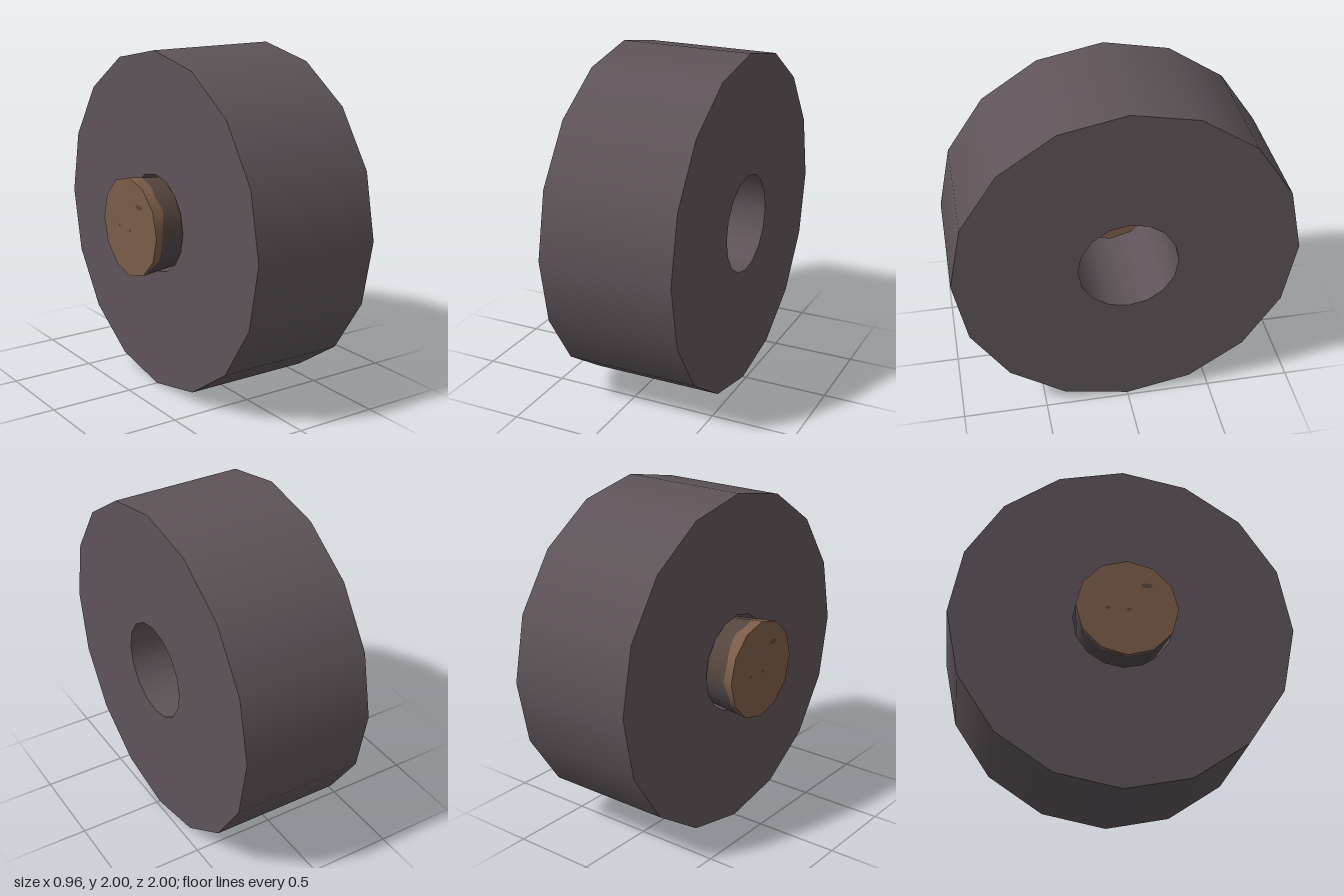
import * as THREE from 'three';

const material = (name, color) => {
  const m = new THREE.MeshStandardMaterial({ color });
  m.name = name;
  return m;
};

export function createModel() {
  const rubber = material('dark rubber', 0x5d5358);
  const wood = material('brown', 0x7a5c48);
  const worn = material('worn brown', 0x55453d);
  const soot = material('charcoal', 0x4e464a);

  const model = new THREE.Group();
  model.name = 'wheelWithPlug';
  model.position.y = 1;

  const add = (name, geometry, mat, parent) => {
    const mesh = new THREE.Mesh(geometry, mat);
    mesh.name = name;
    parent.add(mesh);
    return mesh;
  };

  // Wheel: 16-sided rim and bore, closed by two flat rings
  const wheel = new THREE.Group();
  wheel.name = 'wheel';
  model.add(wheel);
  const X0 = -0.305, X1 = 0.48, BORE = 0.29;
  // Rising profiles face outward, falling ones inward
  const tube = (r, from, to) => new THREE.LatheGeometry(
    [new THREE.Vector2(r, from), new THREE.Vector2(r, to)], 16).rotateZ(-Math.PI / 2);
  add('tread', tube(1, X0, X1), rubber, wheel);
  add('bore', tube(BORE, X1, X0), rubber, wheel);
  for (const [name, x, dir] of [['leftFace', X1, 1], ['rightFace', X0, -1]]) {
    add(name, new THREE.RingGeometry(BORE, 1, 16).rotateY(dir * Math.PI / 2).translate(x, 0, 0), rubber, wheel);
  }

  // Plug: 12-sided taper sitting in the bore
  const plug = new THREE.Group();
  plug.name = 'plug';
  model.add(plug);
  const P0 = -0.48, P1 = -0.1, R0 = 0.292, R1 = 0.25, STEPS = 72;
  const radiusAt = (x) => THREE.MathUtils.mapLinear(x, P0, P1, R0, R1);

  // Strip of the tapered side between two ragged edges given as x(angle)
  const band = (from, to) => {
    const pos = [], nor = [], idx = [], side = Math.PI / 6;
    for (let i = 0; i <= STEPS; i++) {
      const a = (i / STEPS) * Math.PI * 2;
      const chord = Math.cos(side / 2) / Math.cos((i % 6) / 6 * side - side / 2);
      for (const x of [from(a), to(a)]) {
        const r = radiusAt(x) * chord;
        pos.push(x, r * Math.cos(a), r * Math.sin(a));
        nor.push(0.11, Math.cos(a), Math.sin(a));
      }
      if (i < STEPS) {
        const k = i * 2;
        idx.push(k, k + 2, k + 1, k + 1, k + 2, k + 3);
      }
    }
    const g = new THREE.BufferGeometry();
    g.setAttribute('position', new THREE.Float32BufferAttribute(pos, 3));
    g.setAttribute('normal', new THREE.Float32BufferAttribute(nor, 3));
    g.setIndex(idx);
    return g;
  };
  const edge = (a) => -0.43 + 0.027 * Math.cos(a) + 0.008 * Math.sin(7 * a);
  const wear = (a) => edge(a) + 0.22 * THREE.MathUtils.clamp(Math.cos(a) * 2 + 0.5, 0, 1);
  add('plugRim', band(() => P0, edge), wood, plug);
  add('plugWornSide', band(edge, wear), worn, plug);
  add('plugInnerSide', band(wear, () => P1), soot, plug);
  add('plugOuterEnd', new THREE.CircleGeometry(R0, 12).rotateY(-Math.PI / 2).translate(P0, 0, 0), wood, plug);
  add('plugInnerEnd', new THREE.CircleGeometry(R1, 12).rotateY(Math.PI / 2).translate(P1, 0, 0), wood, plug);

  // Stains on both ends, as flat patches just off the surface
  const squiggle = new THREE.Shape([
    [-0.17, 0.03], [-0.175, 0.11], [-0.14, 0.145], [-0.105, 0.14], [-0.095, 0.165],
    [-0.07, 0.155], [-0.06, 0.1], [-0.035, 0.02], [-0.01, -0.005], [0.03, -0.01],
    [0.02, -0.03], [-0.01, -0.04], [-0.04, -0.015], [-0.06, 0.05], [-0.08, 0.115],
    [-0.12, 0.125], [-0.14, 0.1], [-0.155, 0.04],
  ].map(([x, y]) => new THREE.Vector2(x, y)));
  add('innerStain', new THREE.ShapeGeometry(squiggle).rotateY(Math.PI / 2).translate(P1 + 0.003, 0, 0), worn, plug);

  const spot = (name, dir, x, y, w, h) => add(name, new THREE.CircleGeometry(1, 8).scale(w, h, 1)
    .translate(x, y, 0).rotateY(dir * Math.PI / 2)
    .translate(dir > 0 ? P1 + 0.003 : P0 - 0.003, 0, 0), worn, plug);
  spot('innerSpot', 1, 0.13, 0.03, 0.02, 0.025);
  spot('innerSpot', 1, 0.14, -0.045, 0.008, 0.012);
  spot('outerSpot', -1, 0.11, 0.14, 0.035, 0.015);
  spot('outerSpot', -1, -0.11, -0.01, 0.014, 0.01);
  spot('outerSpot', -1, 0.01, -0.015, 0.014, 0.01);

  return model;
}
